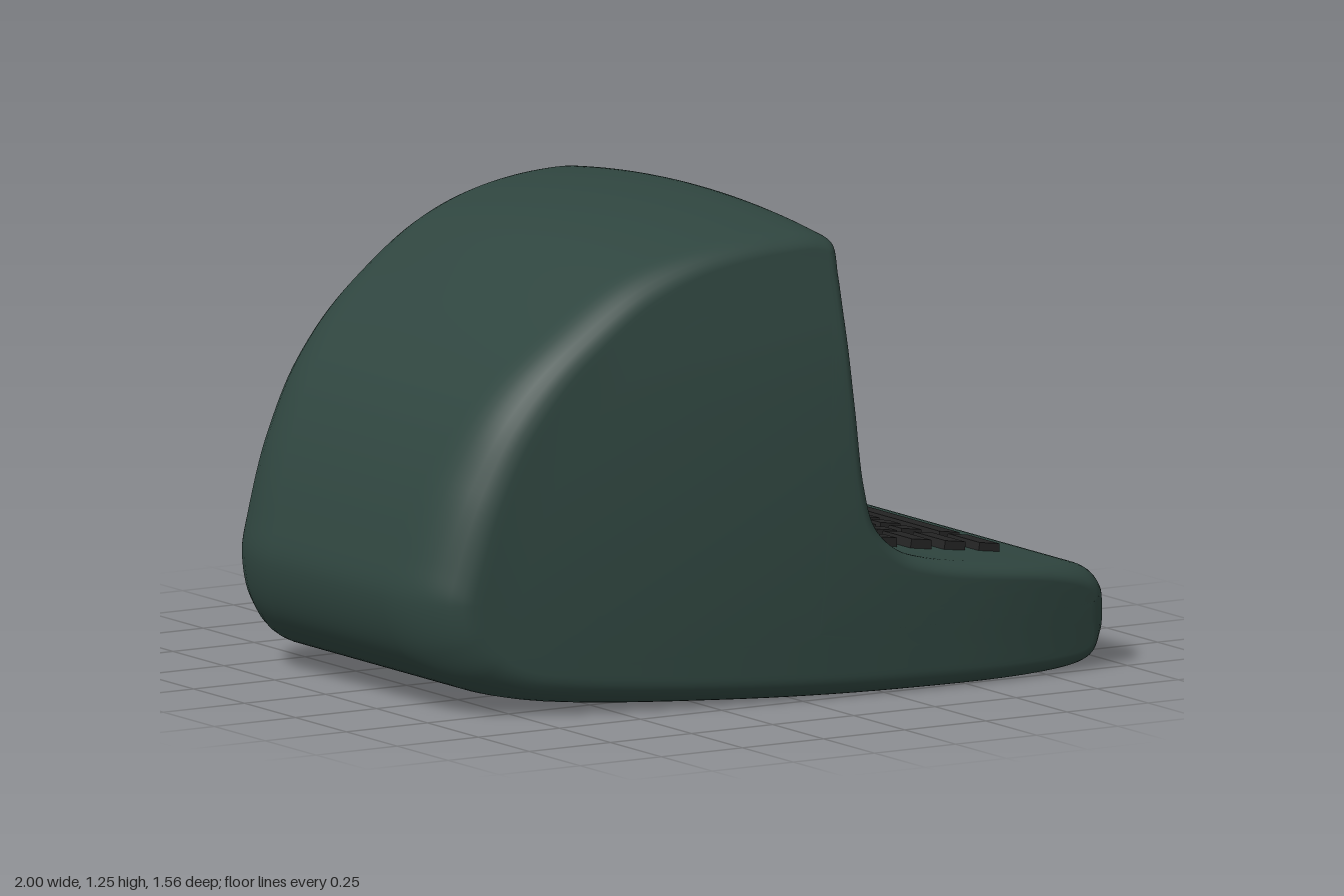
import * as THREE from 'three';

const shellMat = new THREE.MeshStandardMaterial({ color: 0x2f453f });
shellMat.name = 'dark green casing';
const darkMat = new THREE.MeshStandardMaterial({ color: 0x242424 });
darkMat.name = 'charcoal';

// Smooth surface from rows of points; rows close into a loop.
function loopedGrid(rows) {
  const n = rows.length, m = rows[0].length, index = [];
  for (let i = 0; i < n; i++) {
    for (let j = 0; j < m - 1; j++) {
      const a = i * m + j, c = ((i + 1) % n) * m + j;
      index.push(a, a + 1, c, a + 1, c + 1, c);
    }
  }
  const geo = new THREE.BufferGeometry();
  geo.setAttribute('position', new THREE.Float32BufferAttribute(rows.flat(2), 3));
  geo.setIndex(index);
  geo.computeVertexNormals();
  return geo;
}

const smooth = THREE.MathUtils.smoothstep;

// Side profile, clockwise from the back: x, y, edge rounding inward, edge rounding in z
const PROFILE = [
  [-1, 0.3, 0.14, 0.27], [-0.975, 0.42, 0.14, 0.26], [-0.9, 0.62, 0.13, 0.22], [-0.79, 0.807, 0.12, 0.18],
  [-0.6, 1.0, 0.1, 0.14], [-0.39, 1.155, 0.08, 0.11], [-0.2, 1.22, 0.06, 0.08], [0.01, 1.248, 0.05, 0.07],
  [0.14, 1.242, 0.04, 0.06], [0.187, 1.215, 0.035, 0.05], [0.19, 1.13, 0.03, 0.04], [0.19, 1.0, 0.03, 0.04],
  [0.195, 0.75, 0.03, 0.04], [0.21, 0.54, 0.035, 0.05], [0.24, 0.435, 0.04, 0.06], [0.305, 0.37, 0.04, 0.06],
  [0.4, 0.337, 0.04, 0.06], [0.76, 0.286, 0.04, 0.07], [0.92, 0.26, 0.06, 0.12], [0.982, 0.22, 0.09, 0.18],
  [1, 0.14, 0.1, 0.2], [0.983, 0.07, 0.09, 0.18], [0.92, 0.015, 0.05, 0.1], [0.8, 0.003, 0.04, 0.05],
  [0.3, 0, 0.05, 0.05], [-0.2, 0.008, 0.06, 0.07], [-0.72, 0.035, 0.08, 0.11], [-0.87, 0.075, 0.11, 0.18],
  [-0.96, 0.16, 0.13, 0.25],
];

// Half width of the casing at a point of its side
function halfWidth(x, y) {
  const plan = 0.778 - (x < 0.5 ? 0.119 : 0.3) * (x - 0.5) ** 2;
  return plan * (1 - 0.16 * Math.max(0, y - 0.15) ** 2);
}

// Screen recess in the front wall and a slight crown on the roof
function shape(x, y, z) {
  const w = Math.abs(z);
  const m = (1 - smooth(w, 0.44, 0.58)) * smooth(y, 0.33, 0.43) * (1 - smooth(y, 1.08, 1.2));
  const crown = 0.045 * (z / 0.62) ** 2 * smooth(y, 0.85, 1.2);
  return [x + (Math.min(x, 0.14) - x) * m, y - crown, z];
}

function casing() {
  const path = new THREE.CatmullRomCurve3(PROFILE.map(p => new THREE.Vector3(p[0], p[1], 0)), true);
  const edge = new THREE.CatmullRomCurve3(PROFILE.map(p => new THREE.Vector3(p[2], p[3], 0)), true, 'catmullrom', 0.3);
  const N = PROFILE.length * 8, cx = 0.05, cy = 0.17;
  const rows = [];
  for (let i = 0; i < N; i++) {
    const p = path.getPoint(i / N), t = path.getTangent(i / N), e = edge.getPoint(i / N);
    const nx = t.y, ny = -t.x; // inward
    const qx = p.x + nx * e.x, qy = p.y + ny * e.x;
    const flat = halfWidth(qx, qy) - e.y;
    const half = []; // rounded edge, then side panel to its middle
    for (let a = 1; a <= 8; a++) {
      const ang = (a / 8) * Math.PI / 2, d = e.x * (1 - Math.cos(ang));
      half.push([p.x + nx * d, p.y + ny * d, flat + e.y * Math.sin(ang)]);
    }
    for (let k = 9; k >= 0; k--) {
      const x = cx + (qx - cx) * k / 10, y = cy + (qy - cy) * k / 10;
      half.push([x, y, halfWidth(x, y)]);
    }
    const strip = [];
    for (let j = -24; j <= 24; j++) strip.push([p.x, p.y, flat * j / 24]);
    const mirrored = half.map(([x, y, z]) => [x, y, -z]).reverse();
    rows.push([...mirrored, ...strip, ...half].map(v => shape(...v)));
  }
  const mesh = new THREE.Mesh(loopedGrid(rows), shellMat);
  mesh.name = 'casing';
  return mesh;
}

// Domed screen with a barrel-shaped outline
function screen() {
  const rows = [], rings = [0, 0.25, 0.5, 0.7, 0.85, 0.93, 0.97, 1];
  const pow = v => Math.sign(v) * Math.abs(v) ** (1 / 3);
  for (let i = 0; i < 96; i++) {
    const a = (i / 96) * Math.PI * 2, y = 0.325 * pow(Math.cos(a)), z = 0.43 * pow(Math.sin(a));
    rows.push(rings.map(k => [0.132 + 0.025 * (1 - k ** 10) + 0.015 * (1 - k * k), 0.75 + y * k, z * k]));
  }
  const mesh = new THREE.Mesh(loopedGrid(rows), darkMat);
  mesh.name = 'screen';
  return mesh;
}

// Tapered key cap standing on the sloping deck
function key(x, z, length) {
  const geo = new THREE.BoxGeometry(0.07, 0.05, length);
  const pos = geo.attributes.position;
  for (let i = 0; i < pos.count; i++) {
    if (pos.getY(i) < 0) continue;
    pos.setX(i, pos.getX(i) - Math.sign(pos.getX(i)) * 0.004);
    pos.setZ(i, pos.getZ(i) - Math.sign(pos.getZ(i)) * 0.004);
  }
  geo.computeVertexNormals();
  const mesh = new THREE.Mesh(geo, darkMat);
  mesh.position.set(x, 0.337 - 0.142 * (x - 0.4) - 0.004, z);
  mesh.rotation.z = -Math.atan(0.142);
  mesh.name = 'key';
  return mesh;
}

function keyboard() {
  const group = new THREE.Group();
  group.name = 'keyboard';
  // x of the row, first small key z, number of small keys, wide keys as [z, length]
  const rows = [
    [0.417, -0.464, 10, []],
    [0.52, -0.32, 7, [[-0.447, 0.105], [0.428, 0.15]]],
    [0.624, -0.262, 6, [[-0.418, 0.165], [0.42, 0.165]]],
    [0.73, 0, 0, [[-0.418, 0.165], [0.003, 0.605], [0.42, 0.165]]],
  ];
  for (const [x, z0, count, wide] of rows) {
    for (let i = 0; i < count; i++) group.add(key(x, z0 + i * 0.103, 0.07));
    for (const [z, length] of wide) group.add(key(x, z, length));
  }
  return group;
}

export function createModel() {
  const model = new THREE.Group();
  model.name = 'desktop terminal';
  model.add(casing(), screen(), keyboard());
  return model;
}
